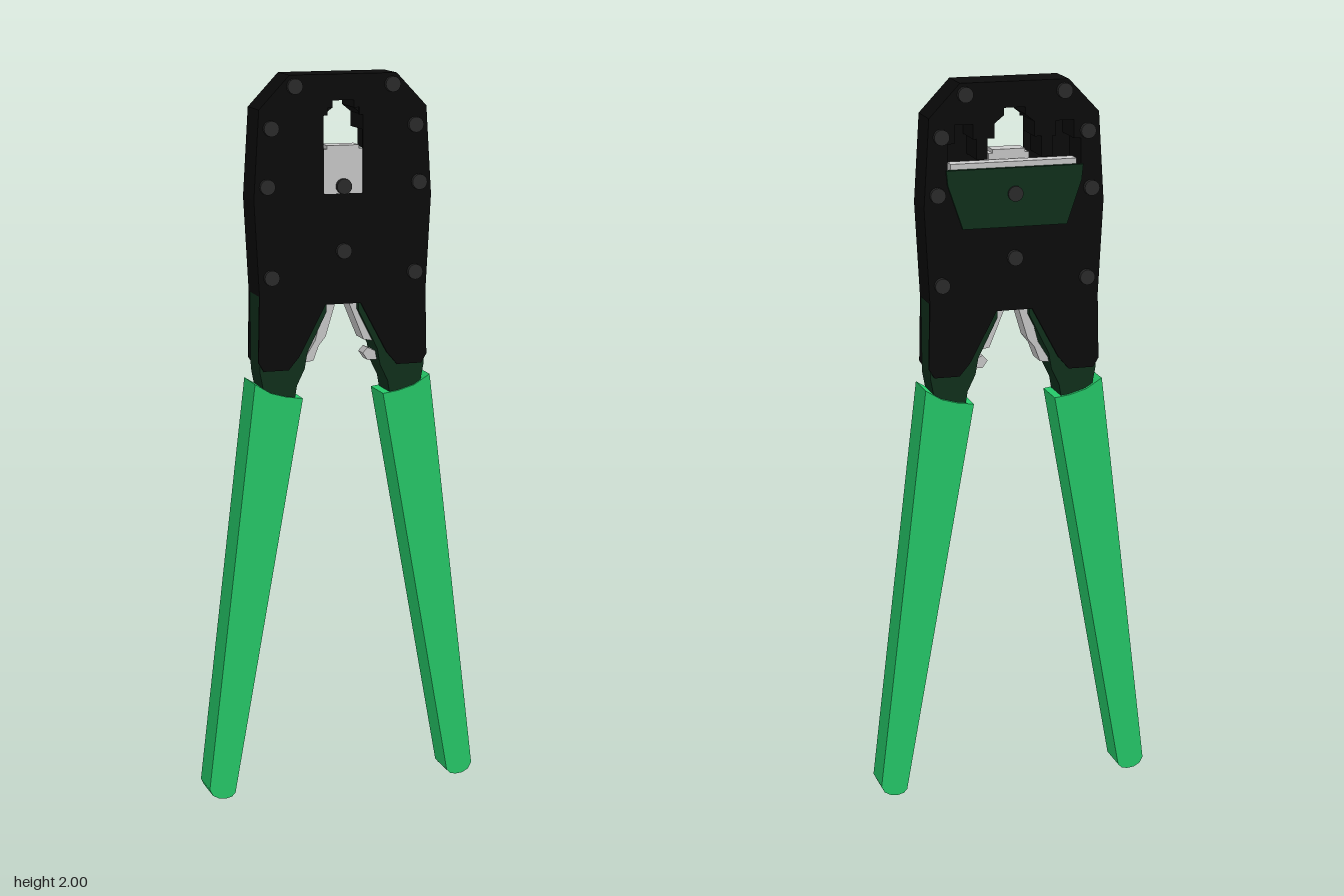
import * as THREE from 'three';

const mat = (color) => new THREE.MeshStandardMaterial({ color, side: THREE.DoubleSide });
const black = mat(0x0b0b0b), rivetGrey = mat(0x2b2b2b), darkGreen = mat(0x10301c);
const green = mat(0x26cc6a), steel = mat(0xcccccc);

const toPath = (pts, Type) => new Type(pts.map(([x, y]) => new THREE.Vector2(x, y)));
// Completes a half outline (positive x, listed top to bottom) with its mirror image
const mirrored = (half) => [...half, ...half.slice().reverse().map(([x, y]) => [-x, y])];

// Flat part cut from an outline in the x-y plane, spanning z0..z1
function slab(name, pts, z0, z1, material, holes = []) {
  const shape = toPath(pts, THREE.Shape);
  shape.holes = holes.map((h) => toPath(h, THREE.Path));
  const geo = new THREE.ExtrudeGeometry(shape, { depth: z1 - z0, bevelEnabled: false });
  geo.translate(0, 0, z0);
  const mesh = new THREE.Mesh(geo, material);
  mesh.name = name;
  return mesh;
}

export function createModel() {
  const group = new THREE.Group();
  group.name = 'crimpingTool';
  const add = (...args) => { const m = slab(...args); group.add(m); return m; };

  // Head: two thin cover plates around a solid core
  const upper = [[0.15, 2], [0.235, 1.91], [0.25, 1.67], [0.236, 1.41]];
  const plate = mirrored([...upper, [0.24, 1.23], [0.225, 1.205], [0.155, 1.205], [0.125, 1.24], [0.05, 1.38]]);
  const window = mirrored([[0.03, 1.93], [0.03, 1.91], [0.045, 1.91], [0.045, 1.89], [0.055, 1.89], [0.055, 1.68]]);
  // Rear opening: three nests separated by hanging teeth
  const nests = mirrored([
    [0.03, 1.93], [0.03, 1.91], [0.055, 1.89], [0.055, 1.85], [0.075, 1.85], [0.075, 1.795], [0.105, 1.795],
    [0.105, 1.85], [0.115, 1.85], [0.115, 1.89], [0.165, 1.89], [0.165, 1.84], [0.185, 1.84], [0.185, 1.765], [0.145, 1.64],
  ]);
  add('headCore', mirrored([...upper, [0.05, 1.385]]), -0.048, 0.045, black, [nests]);
  add('frontPlate', plate, 0.045, 0.051, black, [window]);
  add('backPlate', plate, -0.056, -0.048, black, [nests]);

  // Sliding die behind the front window and the stepped rear die
  add('frontDie', [[-0.056, 1.67], [0.056, 1.67], [0.056, 1.80], [0.045, 1.80], [0.045, 1.81],
    [-0.045, 1.81], [-0.045, 1.80], [-0.056, 1.80]], 0.0, 0.05, steel);
  add('rearDie', mirrored([[0.175, 1.785], [0.175, 1.72], [0.14, 1.65]]), -0.05, -0.01, steel);
  add('rearDiePanel', mirrored([[0.19, 1.77], [0.186, 1.73], [0.145, 1.61]]), -0.063, -0.05, darkGreen);

  // Rivets running through the whole head
  const rivetGeo = new THREE.CylinderGeometry(0.021, 0.021, 0.133, 16).rotateX(Math.PI / 2);
  const rivets = [[0, 1.7], [0, 1.525]];
  for (const s of [-1, 1]) {
    for (const [x, y] of [[0.137, 1.97], [0.203, 1.86], [0.214, 1.705], [0.203, 1.46]]) rivets.push([s * x, y]);
  }
  for (const [x, y] of rivets) {
    const rivet = new THREE.Mesh(rivetGeo, rivetGrey);
    rivet.name = 'rivet';
    rivet.position.set(x, y, -0.003);
    group.add(rivet);
  }

  // Handles: metal arm between the plates and a tapered grip
  const arm = [[0.235, 1.41], [0.234, 1.2], [0.215, 1.1], [0.14, 1.1], [0.13, 1.16], [0.108, 1.205],
    [0.1, 1.25], [0.045, 1.36], [0.045, 1.40]];
  const grip = [[0.25, 1.172], [0.387, 0.03], [0.378, 0.012], [0.36, 0.002], [0.34, 0], [0.323, 0.004], [0.313, 0.015],
    [0.115, 1.125], [0.16, 1.131], [0.205, 1.144]];
  for (const [side, s] of [['left', 1], ['right', -1]]) {
    const flip = (pts) => pts.map(([x, y]) => [s * x, y]);
    add(side + 'Arm', flip(arm), -0.0475, 0.0445, darkGreen);
    const mesh = add(side + 'Grip', flip(grip), -0.054, 0.054, green);
    // Grip gets thinner towards its end
    const p = mesh.geometry.attributes.position;
    for (let i = 0; i < p.count; i++) p.setZ(i, p.getZ(i) * (0.9 + 0.085 * p.getY(i)) - 0.003);
    mesh.geometry.computeVertexNormals();
  }

  // Steel cutter and stripper blades in the gap under the head
  add('rightBlade', [[-0.015, 1.39], [-0.045, 1.39], [-0.075, 1.28], [-0.112, 1.22], [-0.08, 1.225],
    [-0.065, 1.265], [-0.045, 1.29]], -0.03, 0.035, steel);
  add('leftBlade', [[0.018, 1.39], [0.045, 1.39], [0.092, 1.27], [0.065, 1.275]], -0.035, 0.03, steel);
  add('bladeHook', [[0.066, 1.235], [0.08, 1.25], [0.112, 1.235], [0.115, 1.215], [0.08, 1.215]], -0.02, 0.02, steel);
  return group;
}
